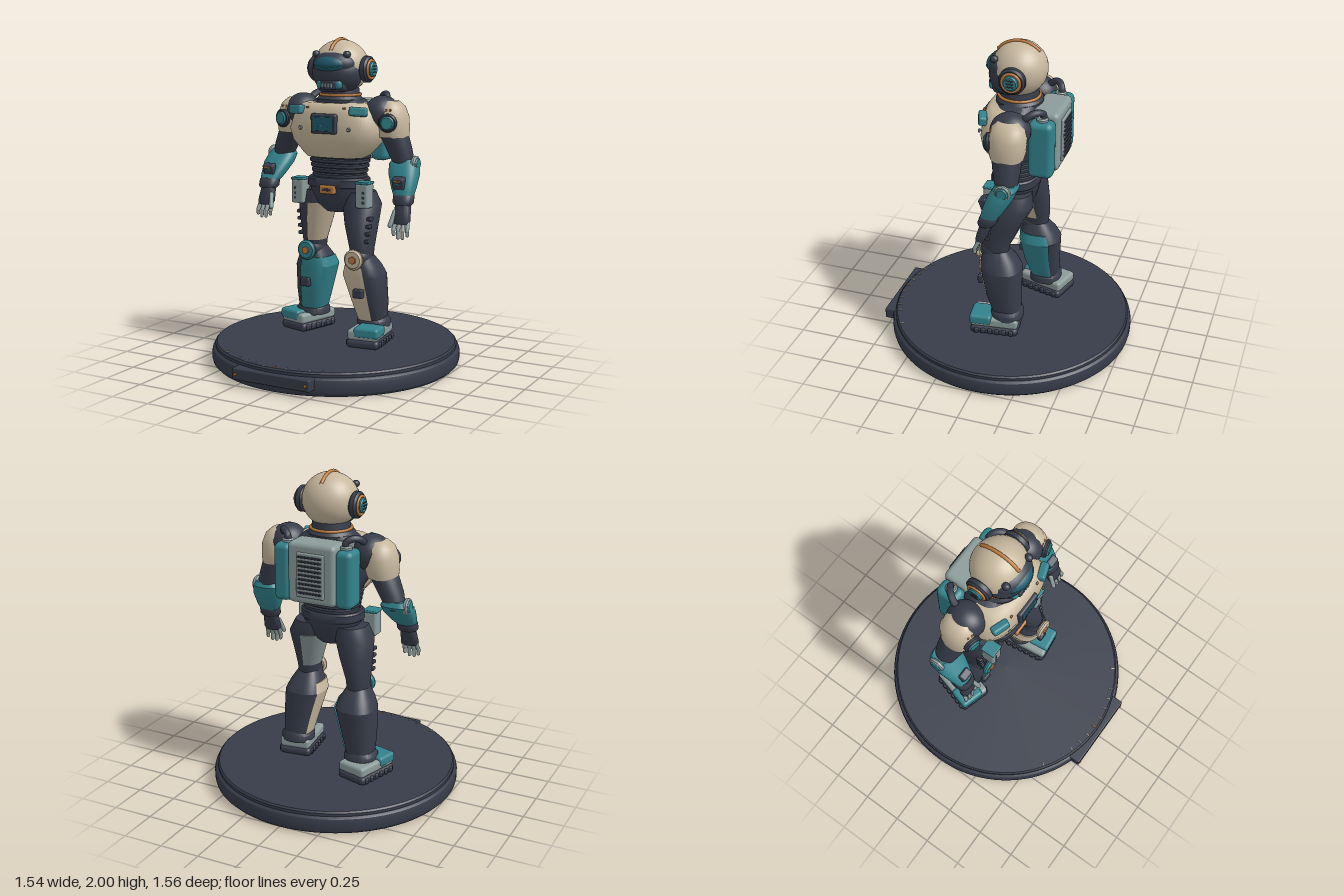
import * as THREE from 'three';
import { toCreasedNormals } from 'three/addons/utils/BufferGeometryUtils.js';
import { RoundedBoxGeometry } from 'three/addons/geometries/RoundedBoxGeometry.js';

const material = (name, color) => Object.assign(
  new THREE.MeshStandardMaterial({ color, side: THREE.DoubleSide }), { name });
const dark = material('charcoal', 0x373c49);
const tan = material('sand', 0xc6b79d);
const teal = material('teal', 0x32828c);
const grey = material('pale steel', 0x8c9b9b);
const orange = material('copper', 0xbd7a3c);
const glass = material('visor glass', 0x20596a);

const V = (a) => new THREE.Vector3(...a);
const mix = (a, b, t) => a.map((v, i) => v + (b[i] - v) * t);

function add(parent, name, geo, mat, pos = [0, 0, 0], rot = [0, 0, 0]) {
  const m = new THREE.Mesh(geo, mat);
  m.name = name;
  m.position.set(...pos);
  m.rotation.set(...rot);
  parent.add(m);
  return m;
}
const box = (w, h, d, r = 0.01) => new RoundedBoxGeometry(w, h, d, 2, Math.min(r, w / 2.1, h / 2.1, d / 2.1));
const ball = (rx, ry, rz) => new THREE.SphereGeometry(1, 32, 20).scale(rx, ry, rz);
const lathe = (pts, n = 32) => toCreasedNormals(new THREE.LatheGeometry(pts.map((p) => new THREE.Vector2(...p)), n), 0.5);
// Bevelled disc, centred, axis along y
const puck = (r, h, b = 0.008) => lathe([[0, -h / 2], [r - b, -h / 2], [r, -h / 2 + b], [r, h / 2 - b], [r - b, h / 2], [0, h / 2]]);
const tube = (pts, r) => new THREE.TubeGeometry(new THREE.CatmullRomCurve3(pts.map(V)), 28, r, 8);

// Superellipse sections [y, x, z, rx, rz] from bottom to top, between two angles
// (0 is +x, half pi is +z), closed by a fan at each end
function loft(sections, { e = 0.85, a0 = 0, a1 = Math.PI * 2, grow = 1, crease = 0.7 } = {}) {
  const n = 32, pos = [], idx = [];
  const pw = (v) => Math.sign(v) * Math.abs(v) ** e;
  for (const [y, x, z, rx, rz] of sections) {
    for (let j = 0; j <= n; j++) {
      const a = a0 + (a1 - a0) * j / n;
      pos.push(x + pw(Math.cos(a)) * rx * grow, y, z + pw(Math.sin(a)) * rz * grow);
    }
  }
  const last = sections.length - 1, w = n + 1, c = pos.length / 3;
  for (const k of [0, last]) pos.push(sections[k][1], sections[k][0], sections[k][2]);
  for (let j = 0; j < n; j++) {
    for (let i = 0; i < last; i++) {
      const p = i * w + j;
      idx.push(p, p + w, p + 1, p + 1, p + w, p + w + 1);
    }
    idx.push(c, j, j + 1, c + 1, last * w + j + 1, last * w + j);
  }
  const g = new THREE.BufferGeometry();
  g.setAttribute('position', new THREE.Float32BufferAttribute(pos, 3));
  g.setIndex(idx);
  return toCreasedNormals(g, crease);
}
// Angle range on the left side, mirrored when s is -1
const arc = (s, a0, a1) => (s > 0 ? { a0, a1 } : { a0: Math.PI - a1, a1: Math.PI - a0 });

function rod(parent, name, a, b, r, mat) {
  const d = V(b).sub(V(a));
  const m = add(parent, name, new THREE.CapsuleGeometry(r, d.length(), 4, 10), mat, mix(a, b, 0.5));
  m.quaternion.setFromUnitVectors(new THREE.Vector3(0, 1, 0), d.normalize());
}

function makeBase(root) {
  const g = new THREE.Group();
  g.name = 'base';
  g.position.z = -0.01;
  root.add(g);
  add(g, 'plinth', lathe([[0, 0], [0.745, 0], [0.765, 0.02], [0.77, 0.04], [0.77, 0.08], [0.765, 0.1], [0.755, 0.11],
    [0.75, 0.112], [0.75, 0.13], [0.74, 0.14], [0, 0.14]], 96), dark);
  add(g, 'frontPlate', box(0.52, 0.07, 0.08, 0.008), dark, [0, 0.078, 0.742]);
  for (const s of [-1, 1]) add(g, 'plateBolt', puck(0.009, 0.008, 0.002), orange, [s * 0.235, 0.078, 0.783], [Math.PI / 2, 0, 0]);
  for (let i = -5; i <= 5; i++) {
    const a = i * 0.1 + Math.sign(i) * (Math.abs(i) === 5 ? 0.1 : 0);
    add(g, 'dialTick', box(0.007, 0.006, 0.028, 0.002), i === 0 ? orange : i % 2 ? tan : grey,
      [Math.sin(a) * 0.725, 0.142, Math.cos(a) * 0.725], [0, a, 0]);
  }
}

function makeLeg(root, s, kneeZ, ankleX, ankleZ, plate, thighPlate, thighArc, yaw) {
  const g = new THREE.Group();
  g.name = s > 0 ? 'leftLeg' : 'rightLeg';
  root.add(g);
  const thigh = [[0.68, s * 0.2, kneeZ, 0.065, 0.08], [0.74, s * 0.2, kneeZ, 0.07, 0.09],
    [0.88, s * 0.175, (kneeZ - 0.06) / 2, 0.098, 0.115], [0.99, s * 0.155, -0.065, 0.115, 0.125], [1.07, s * 0.13, -0.065, 0.1, 0.11]];
  add(g, 'thigh', loft(thigh, { e: 0.9 }), dark);
  add(g, 'innerThighPlate', loft(thigh.slice(1, 4), { ...thighArc, e: 0.9, grow: 1.04 }), thighPlate);
  for (let i = 0; i < 4; i++) add(g, 'thighRib', box(0.03, 0.022, 0.04, 0.006), dark, [s * (0.262 - i * 0.003), 0.92 - i * 0.045, kneeZ / 2 + 0.03 + (s > 0 ? i * 0.008 : 0)]);

  const shin = [[0.27, ankleX, ankleZ, 0.08, 0.085], [0.4, s * 0.23, mix([ankleZ], [kneeZ], 0.3)[0], 0.1, 0.108],
    [0.57, s * 0.207, kneeZ - 0.035, 0.122, 0.125], [0.63, s * 0.203, kneeZ - 0.02, 0.1, 0.11], [0.7, s * 0.2, kneeZ, 0.06, 0.07]];
  add(g, 'shin', loft(shin, { e: 0.75, crease: 0.4 }), dark);
  add(g, 'shinPlate', loft(shin.slice(0, 4), { ...arc(s, 1.3, 3.7), e: 0.75, grow: 1.06, crease: 0.4 }), plate);
  add(g, 'shinBox', box(0.065, 0.055, 0.035, 0.008), dark, [s * 0.222, 0.47, kneeZ + 0.09]);

  // Knee disc with a hexagonal bolt
  const front = [Math.PI / 2, 0, 0];
  add(g, 'kneeJoint', ball(0.068, 0.075, 0.08), dark, [s * 0.2, 0.68, kneeZ + 0.02]);
  add(g, 'kneeDisc', puck(0.062, 0.035, 0.012), plate, [s * 0.2, 0.68, kneeZ + 0.11], front);
  add(g, 'kneeBolt', new THREE.CylinderGeometry(0.024, 0.026, 0.012, 6), orange, [s * 0.2, 0.68, kneeZ + 0.13], front);

  // Boot, turned outward
  const f = new THREE.Group();
  f.name = 'boot';
  f.position.set(s > 0 ? 0.25 : -0.285, 0.14, s > 0 ? 0.01 : -0.165);
  f.rotation.y = yaw;
  g.add(f);
  add(f, 'sole', box(0.21, 0.055, 0.3, 0.025), dark, [0, 0.028, 0]);
  for (let i = 0; i < 6; i++) add(f, 'tread', box(0.225, 0.035, 0.028, 0.008), dark, [0, 0.028, -0.11 + i * 0.044]);
  add(f, 'bootBody', box(0.195, 0.065, 0.3, 0.02), grey, [0, 0.083, 0]);
  add(f, 'toeCap', box(0.16, 0.065, 0.14, 0.02), teal, [s * 0.025, 0.1, 0.085]);
  add(g, 'ankleCuff', loft([[0.24, ankleX, ankleZ, 0.1, 0.1], [0.28, ankleX, ankleZ, 0.1, 0.1], [0.31, ankleX, ankleZ, 0.075, 0.08]]), dark);
}

function makeTorso(root) {
  const g = new THREE.Group();
  g.name = 'torso';
  root.add(g);
  add(g, 'pelvis', loft([[0.94, 0, -0.05, 0.07, 0.07], [0.99, 0, -0.05, 0.14, 0.115], [1.07, 0, -0.05, 0.175, 0.135], [1.1, 0, -0.05, 0.18, 0.14]]), dark);
  add(g, 'belt', loft([[1.09, 0, -0.05, 0.185, 0.14], [1.1, 0, -0.05, 0.195, 0.148], [1.145, 0, -0.05, 0.195, 0.148], [1.155, 0, -0.05, 0.185, 0.14]]), dark);
  add(g, 'buckle', box(0.105, 0.052, 0.03, 0.01), orange, [0, 1.087, 0.095]);
  add(g, 'buckleSlot', box(0.06, 0.016, 0.008, 0.003), dark, [0, 1.087, 0.109]);

  // Ribbed waist
  const ribs = [];
  for (let i = 0; i < 5; i++) {
    const y = 1.15 + i * 0.03, r = 0.172 + i * 0.007;
    ribs.push([y, 0, -0.06, r - 0.01, 0.115], [y + 0.006, 0, -0.06, r, 0.128], [y + 0.023, 0, -0.06, r, 0.128], [y + 0.029, 0, -0.06, r - 0.01, 0.115]);
  }
  add(g, 'ribbedWaist', loft(ribs, { crease: 0.4 }), dark);

  add(g, 'upperBody', loft([[1.28, 0, -0.06, 0.18, 0.13], [1.42, 0, -0.06, 0.27, 0.15], [1.56, 0, -0.06, 0.25, 0.15], [1.63, 0, -0.07, 0.15, 0.11]]), dark);
  add(g, 'breastplate', loft([[1.28, 0, -0.04, 0.19, 0.13], [1.31, 0, -0.04, 0.22, 0.15], [1.38, 0, -0.04, 0.285, 0.172], [1.45, 0, -0.04, 0.305, 0.18],
    [1.55, 0, -0.04, 0.27, 0.172], [1.595, 0, -0.04, 0.23, 0.155], [1.61, 0, -0.04, 0.2, 0.13]], { e: 0.72, a0: -0.25, a1: Math.PI + 0.25 }), tan);
  add(g, 'consoleFrame', box(0.175, 0.12, 0.04, 0.014), dark, [0, 1.49, 0.135]);
  add(g, 'consoleScreen', box(0.14, 0.085, 0.008, 0.003), glass, [0, 1.49, 0.154]);
  for (let i = 0; i < 4; i++) add(g, 'screenMark', box(0.014, 0.005, 0.004, 0.001), teal, [-0.036 + i * 0.024, 1.478, 0.159]);
  for (const s of [-1, 1]) {
    add(g, 'collarPad', box(0.11, 0.055, 0.05, 0.014), teal, [s * 0.21, 1.567, 0.1], [-0.15, s * 0.35, 0]);
    add(g, 'chestRivet', puck(0.012, 0.012, 0.003), grey, [s * 0.165, 1.46, 0.137], [Math.PI / 2, 0, 0]);
    add(g, 'chestClip', box(0.016, 0.012, 0.012, 0.003), orange, [s * 0.125, 1.585, 0.118]);
    // Hip pouch
    add(g, 'hipPouch', box(0.085, 0.15, 0.09, 0.014), grey, [s * 0.222, 1.06, 0.04]);
    add(g, 'pouchLid', box(0.09, 0.016, 0.094, 0.006), teal, [s * 0.222, 1.138, 0.04]);
    for (let i = 0; i < 3; i++) add(g, 'pouchVent', box(0.014, 0.014, 0.006, 0.002), dark, [s * 0.235, 1.02 + i * 0.03, 0.085]);
  }
  add(g, 'collar', lathe([[0, 0], [0.14, 0], [0.142, 0.03], [0.125, 0.05], [0, 0.05]]), dark, [0, 1.6, -0.06]);
  add(g, 'neck', new THREE.CylinderGeometry(0.11, 0.12, 0.08, 32), dark, [0.005, 1.68, -0.06]);
  add(g, 'neckRing', new THREE.TorusGeometry(0.122, 0.009, 8, 40), orange, [0.005, 1.656, -0.06], [Math.PI / 2, 0, 0]);
}

function makePack(root) {
  const g = new THREE.Group();
  g.name = 'backpack';
  root.add(g);
  add(g, 'packBody', box(0.31, 0.37, 0.17, 0.03), grey, [0, 1.435, -0.255]);
  add(g, 'grillePlate', box(0.18, 0.27, 0.02, 0.008), grey, [0, 1.43, -0.343]);
  for (let i = 0; i < 9; i++) add(g, 'grilleSlat', box(0.15, 0.012, 0.016, 0.004), dark, [0, 1.325 + i * 0.027, -0.353]);
  for (const s of [-1, 1]) {
    add(g, 'sideTank', box(0.11, 0.35, 0.15, 0.035), teal, [s * 0.2, 1.42, -0.255]);
    add(g, 'hoseSocket', puck(0.035, 0.03), grey, [s * 0.19, 1.6, -0.255]);
    add(g, 'airHose', tube([[s * 0.185, 1.59, -0.26], [s * 0.19, 1.635, -0.26], [s * 0.23, 1.655, -0.23], [s * 0.26, 1.63, -0.18], [s * 0.25, 1.57, -0.13]], 0.021), dark);
  }
}

function makeArm(root, s, E, W, H) {
  const g = new THREE.Group();
  g.name = s > 0 ? 'leftArm' : 'rightArm';
  root.add(g);
  const sec = (p, rx, rz) => [p[1], p[0], p[2], rx, rz];
  add(g, 'shoulderCap', ball(0.11, 0.11, 0.12), dark, [s * 0.275, 1.545, -0.09]);
  add(g, 'pauldron', loft([[1.41, s * 0.35, -0.095, 0.09, 0.098], [1.45, s * 0.345, -0.095, 0.098, 0.108], [1.53, s * 0.34, -0.095, 0.098, 0.112],
    [1.59, s * 0.335, -0.095, 0.08, 0.095], [1.625, s * 0.33, -0.095, 0.045, 0.06]], { e: 0.95, crease: 1 }), tan);
  add(g, 'shoulderDiscRim', puck(0.056, 0.03), dark, [s * 0.362, 1.5, 0.015], [Math.PI / 2, 0, -s * 0.25]);
  add(g, 'shoulderDisc', puck(0.042, 0.03), teal, [s * 0.365, 1.5, 0.026], [Math.PI / 2, 0, -s * 0.25]);
  for (const i of [0, 1]) add(g, 'shoulderMark', box(0.012, 0.018, 0.01, 0.003), orange, [s * (0.345 + i * 0.025), 1.573, 0.002 - i * 0.006]);
  add(g, 'upperArm', loft([sec([E[0], E[1] - 0.02, E[2]], 0.06, 0.06), sec(mix(E, [s * 0.35, 1.43, -0.095], 0.4), 0.077, 0.078),
    [1.43, s * 0.35, -0.095, 0.087, 0.093]], { e: 1 }), dark);
  // Forearm shell with elbow disc and wrist console
  const up = [E[0], E[1] + 0.03, E[2] - 0.005];
  add(g, 'forearm', loft([sec(W, 0.056, 0.05), sec(mix(W, E, 0.25), 0.072, 0.065), sec(mix(W, E, 0.7), 0.093, 0.078), sec(E, 0.09, 0.072), sec(up, 0.07, 0.055)],
    { e: 0.75, crease: 0.5 }), teal);
  add(g, 'elbowRim', puck(0.05, 0.03), grey, [E[0] + s * 0.072, E[1], E[2]], [0, 0, Math.PI / 2]);
  add(g, 'elbowDisc', puck(0.037, 0.03), teal, [E[0] + s * 0.08, E[1], E[2]], [0, 0, Math.PI / 2]);
  const c = mix(W, E, 0.42);
  add(g, 'wristConsole', box(0.075, 0.085, 0.05, 0.01), dark, [c[0], c[1], c[2] + 0.065], [0.35, 0, 0]);
  for (const i of [0, 1]) add(g, 'consoleLight', box(0.045, 0.009, 0.008, 0.002), i ? orange : teal, [c[0], c[1] + 0.012 + i * 0.018 - 0.01, c[2] + 0.092 + i * 0.004], [0.35, 0, 0]);
  // Glove and fingers
  const at = (t) => mix(W, H, t);
  add(g, 'gloveCuff', loft([sec(at(0.18), 0.054, 0.048), sec(at(0.12), 0.063, 0.056), sec(at(-0.04), 0.063, 0.056), sec(at(-0.1), 0.055, 0.05)]), dark);
  add(g, 'palm', loft([sec(at(0.64), 0.046, 0.024), sec(at(0.55), 0.056, 0.032), sec(at(0.3), 0.05, 0.036), sec(at(0.12), 0.044, 0.04)]), dark);
  for (let i = 0; i < 4; i++) {
    const o = (i - 1.5) * 0.027, len = i === 0 || i === 3 ? 0.9 : 0.97;
    const shift = (p, k, dz) => [p[0] + o * k, p[1], p[2] + dz];
    const knuckle = shift(at(0.8), 1.12, 0.008);
    rod(g, 'fingerBase', shift(at(0.6), 1, 0), knuckle, 0.0125, grey);
    rod(g, 'fingerTip', knuckle, shift(at(len), 1.1, 0), 0.011, grey);
  }
  const t = at(0.35), u = at(0.68);
  rod(g, 'thumb', [t[0] - s * 0.04, t[1], t[2] + 0.02], [u[0] - s * 0.06, u[1], u[2] + 0.03], 0.014, grey);
}

function makeHead(root) {
  const g = new THREE.Group();
  g.name = 'head';
  g.position.set(0.008, 0, 0);
  root.add(g);
  add(g, 'helmet', ball(0.172, 0.163, 0.165), tan, [0, 1.823, -0.062]);
  add(g, 'faceShell', ball(0.16, 0.135, 0.14), dark, [0, 1.79, -0.02]);
  add(g, 'visorFrame', ball(0.142, 0.086, 0.11), dark, [0, 1.84, 0.015]);
  add(g, 'visor', ball(0.124, 0.069, 0.108), glass, [0, 1.84, 0.028]);
  add(g, 'visorLine', tube([[-0.1, 1.835, 0.098], [-0.05, 1.83, 0.127], [0, 1.822, 0.135], [0.05, 1.83, 0.127], [0.1, 1.835, 0.098]], 0.003), teal);
  add(g, 'jaw', box(0.2, 0.1, 0.13, 0.035), dark, [0, 1.725, 0.02]);
  add(g, 'respirator', box(0.17, 0.055, 0.09, 0.022), teal, [0, 1.722, 0.062]);
  add(g, 'grille', box(0.1, 0.052, 0.03, 0.01), dark, [0, 1.718, 0.1]);
  for (let i = 0; i < 4; i++) add(g, 'grilleBar', box(0.011, 0.026, 0.008, 0.003), grey, [-0.03 + i * 0.02, 1.718, 0.115]);
  // Crest over the top of the helmet
  const crest = [];
  for (let i = 0; i <= 8; i++) {
    const a = 0.92 - i * 0.215;
    crest.push([0, 1.823 + Math.cos(a) * 0.165, -0.062 + Math.sin(a) * 0.167]);
  }
  add(g, 'crest', tube(crest, 0.011), orange);
  for (const s of [-1, 1]) {
    const side = [0, 0, Math.PI / 2];
    add(g, 'browLamp', ball(0.022, 0.022, 0.025), dark, [s * 0.105, 1.9, 0.06]);
    add(g, 'earPad', puck(0.08, 0.05, 0.012), dark, [s * 0.175, 1.81, -0.07], side);
    add(g, 'earRing', new THREE.TorusGeometry(0.054, 0.009, 8, 32), orange, [s * 0.202, 1.81, -0.07], [0, Math.PI / 2, 0]);
    add(g, 'earCap', puck(0.045, 0.04), teal, [s * 0.203, 1.81, -0.07], side);
    for (let i = -1; i <= 1; i++) add(g, 'earSlot', box(0.006, 0.008, 0.045, 0.002), dark, [s * 0.224, 1.81 + i * 0.018, -0.07]);
  }
}

export function createModel() {
  const root = new THREE.Group();
  root.name = 'armouredExplorer';
  makeBase(root);
  makeLeg(root, 1, 0.025, 0.24, -0.06, tan, grey, arc(1, 2.9, 4.7), 0.12);
  makeLeg(root, -1, -0.105, -0.25, -0.165, teal, tan, arc(-1, 1.55, 3.4), -0.28);
  makeTorso(root);
  makePack(root);
  makeArm(root, 1, [0.415, 1.25, -0.11], [0.455, 1.06, -0.02], [0.472, 0.82, 0.06]);
  makeArm(root, -1, [-0.45, 1.26, -0.13], [-0.465, 1.1, 0.01], [-0.475, 0.875, 0.07]);
  makeHead(root);
  return root;
}
